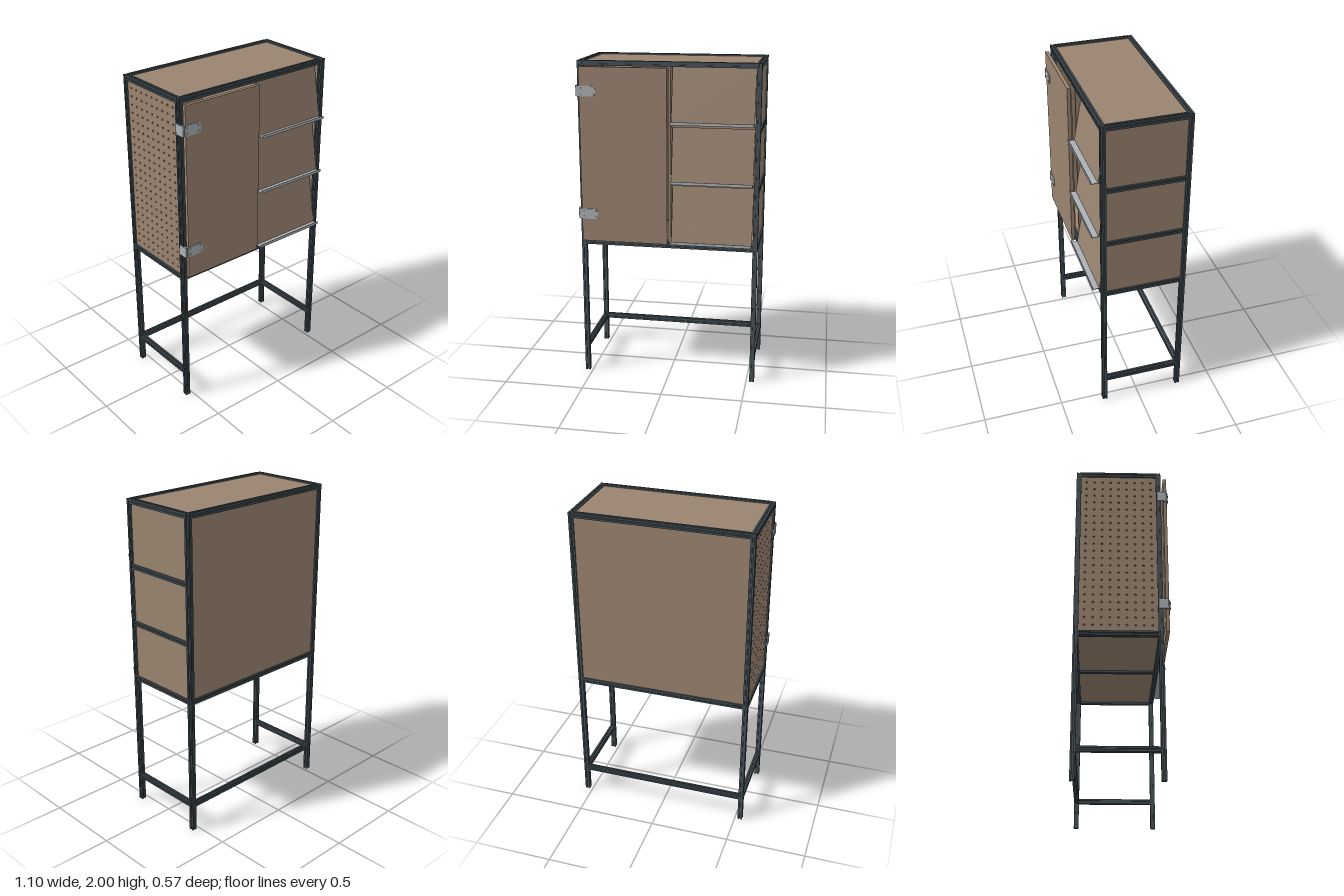
import * as THREE from 'three';

const mat = (name, color) => Object.assign(new THREE.MeshStandardMaterial({ color }), { name });

export function createModel() {
  const frameMat = mat('slateFrame', 0x465157);
  const wood = mat('brownBoard', 0x9a8470);
  const metal = mat('lightMetal', 0xabb1b5);
  const dark = mat('darkMetal', 0x2f3437);
  const root = new THREE.Group();
  root.name = 'cabinet';

  const add = (name, geo, material, parent = root) => {
    const m = new THREE.Mesh(geo, material);
    m.name = name;
    parent.add(m);
    return m;
  };
  // Box given by its minimum and maximum corners
  const board = (name, material, x0, x1, y0, y1, z0, z1, parent = root) => {
    const m = add(name, new THREE.BoxGeometry(x1 - x0, y1 - y0, z1 - z0), material, parent);
    m.position.set((x0 + x1) / 2, (y0 + y1) / 2, (z0 + z1) / 2);
    return m;
  };

  // Slotted square profile, one slot in each side
  const h = 0.015, w = 0.004, d = 0.008;
  const section = new THREE.Shape();
  const corner = [[h, -h], [h, -w], [d, -w], [d, w], [h, w]];
  const pts = [];
  for (let i = 0; i < 4; i++) {
    const c = Math.round(Math.cos(i * Math.PI / 2)), s = Math.round(Math.sin(i * Math.PI / 2));
    for (const [x, y] of corner) pts.push(new THREE.Vector2(x * c - y * s, x * s + y * c));
  }
  section.setFromPoints(pts);
  const beam = (name, axis, length, x, y, z) => {
    const geo = new THREE.ExtrudeGeometry(section, { depth: length, bevelEnabled: false });
    geo.translate(0, 0, -length / 2);
    if (axis === 'x') geo.rotateY(Math.PI / 2);
    if (axis === 'y') geo.rotateX(Math.PI / 2);
    add(name, geo, frameMat).position.set(x, y, z);
  };

  // Frame
  const L = -0.533, R = 0.535, F = 0.222, B = -0.273;
  const cx = (L + R) / 2, cz = (F + B) / 2;
  const spanX = R - L - 0.03, spanZ = F - B - 0.03;
  const topY = 1.985, baseY = 0.877, lowY = 0.177;
  for (const x of [L, R]) {
    for (const z of [F, B]) beam('post', 'y', 2, x, 1, z);
    for (const y of [topY, baseY, lowY]) beam('sideRail', 'z', spanZ, x, y, cz);
  }
  for (const y of [topY, baseY]) beam('frontRail', 'x', spanX, cx, y, F);
  for (const y of [topY, baseY, lowY]) beam('backRail', 'x', spanX, cx, y, B);
  for (const y of [1.597, 1.24]) beam('shelfRail', 'z', spanZ, R, y, cz);
  beam('floorBeam', 'z', spanZ, 0, baseY, cz);

  // Bolts on the frame top
  for (const z of [-0.21, 0.155]) {
    const bolt = add('bolt', new THREE.CylinderGeometry(0.007, 0.007, 0.004, 12), dark);
    bolt.position.set(L, 2 - 0.002, z);
  }

  // Boards held in the frame slots
  const t = 0.006;
  const x0 = L + 0.01, x1 = R - 0.01, z0 = B + 0.01, z1 = F - 0.01;
  board('topBoard', wood, x0, x1, topY - t, topY + t, z0, z1);
  board('floorBoard', wood, x0, x1, baseY, baseY + 0.014, z0, z1);
  board('backBoard', wood, x0, x1, baseY + 0.01, topY - 0.01, B - t, B + t);
  board('sideBoard', wood, R - t, R + t, baseY + 0.01, topY - 0.01, z0, z1);

  // Perforated side board
  const ph = 1.092, pw = z1 - z0;
  const peg = new THREE.Shape();
  peg.moveTo(-pw / 2, -ph / 2);
  peg.lineTo(pw / 2, -ph / 2);
  peg.lineTo(pw / 2, ph / 2);
  peg.lineTo(-pw / 2, ph / 2);
  peg.closePath();
  for (let i = -4; i <= 4; i++) {
    for (let j = -10; j <= 10; j++) {
      const hole = new THREE.Path();
      hole.absarc(i * 0.05, j * 0.05, 0.006, 0, Math.PI * 2, true);
      peg.holes.push(hole);
    }
  }
  const pegGeo = new THREE.ExtrudeGeometry(peg, { depth: 2 * t, bevelEnabled: false, curveSegments: 8 });
  pegGeo.translate(0, 0, -t);
  pegGeo.rotateY(-Math.PI / 2);
  add('perforatedBoard', pegGeo, wood).position.set(L, (topY + baseY) / 2, cz);

  // Divider and shelves
  board('divider', wood, 0.002, 0.016, 0.892, 1.97, B + t, 0.23);
  for (const y of [1.613, 1.256]) board('shelf', wood, 0.016, R - t, y, y + 0.014, B + t, 0.225);

  // Leaning display boards with a metal ledge at the foot
  const tilt = 10 * Math.PI / 180;
  for (const [y, top] of [[1.636, 1.965], [1.277, 1.608], [0.9, 1.25]]) {
    const lean = new THREE.Group();
    lean.name = 'displayBoard';
    lean.position.set(0, y, 0.245);
    lean.rotation.x = -tilt;
    root.add(lean);
    board('leaningBoard', wood, 0.02, 0.515, 0, (top - y) / Math.cos(tilt), -0.012, 0, lean);
    board('ledge', metal, 0.02, 0.515, y, y + 0.004, 0.236, 0.285);
    board('ledgeLip', metal, 0.02, 0.515, y, y + 0.018, 0.282, 0.286);
  }

  // Door with a raised inner layer
  board('door', wood, -0.53, 0, 0.897, 1.967, 0.253, 0.274);
  board('doorInnerLayer', wood, -0.468, -0.036, 0.955, 1.91, 0.238, 0.253);

  // Hinges
  const plate = new THREE.Shape();
  plate.moveTo(-0.538, -0.032);
  plate.lineTo(-0.45, -0.032);
  plate.quadraticCurveTo(-0.43, -0.032, -0.43, -0.012);
  plate.lineTo(-0.43, 0.012);
  plate.quadraticCurveTo(-0.43, 0.032, -0.45, 0.032);
  plate.lineTo(-0.538, 0.032);
  plate.closePath();
  for (const y of [1.824, 1.07]) {
    const hinge = new THREE.Group();
    hinge.name = 'hinge';
    hinge.position.y = y;
    root.add(hinge);
    const leaf = add('hingeLeaf', new THREE.ExtrudeGeometry(plate, { depth: 0.005, bevelEnabled: false }), metal, hinge);
    leaf.position.z = 0.274;
    add('hingeKnuckle', new THREE.CylinderGeometry(0.009, 0.009, 0.066, 16), metal, hinge).position.set(-0.544, 0, 0.263);
    board('hingePostLeaf', metal, -0.553, -0.548, -0.032, 0.032, 0.215, 0.263, hinge);
    for (const x of [-0.52, -0.445]) {
      for (const dy of [-0.018, 0.018]) {
        const screw = add('hingeScrew', new THREE.CylinderGeometry(0.006, 0.006, 0.005, 12), metal, hinge);
        screw.rotation.x = Math.PI / 2;
        screw.position.set(x, dy, 0.281);
      }
    }
  }
  return root;
}
